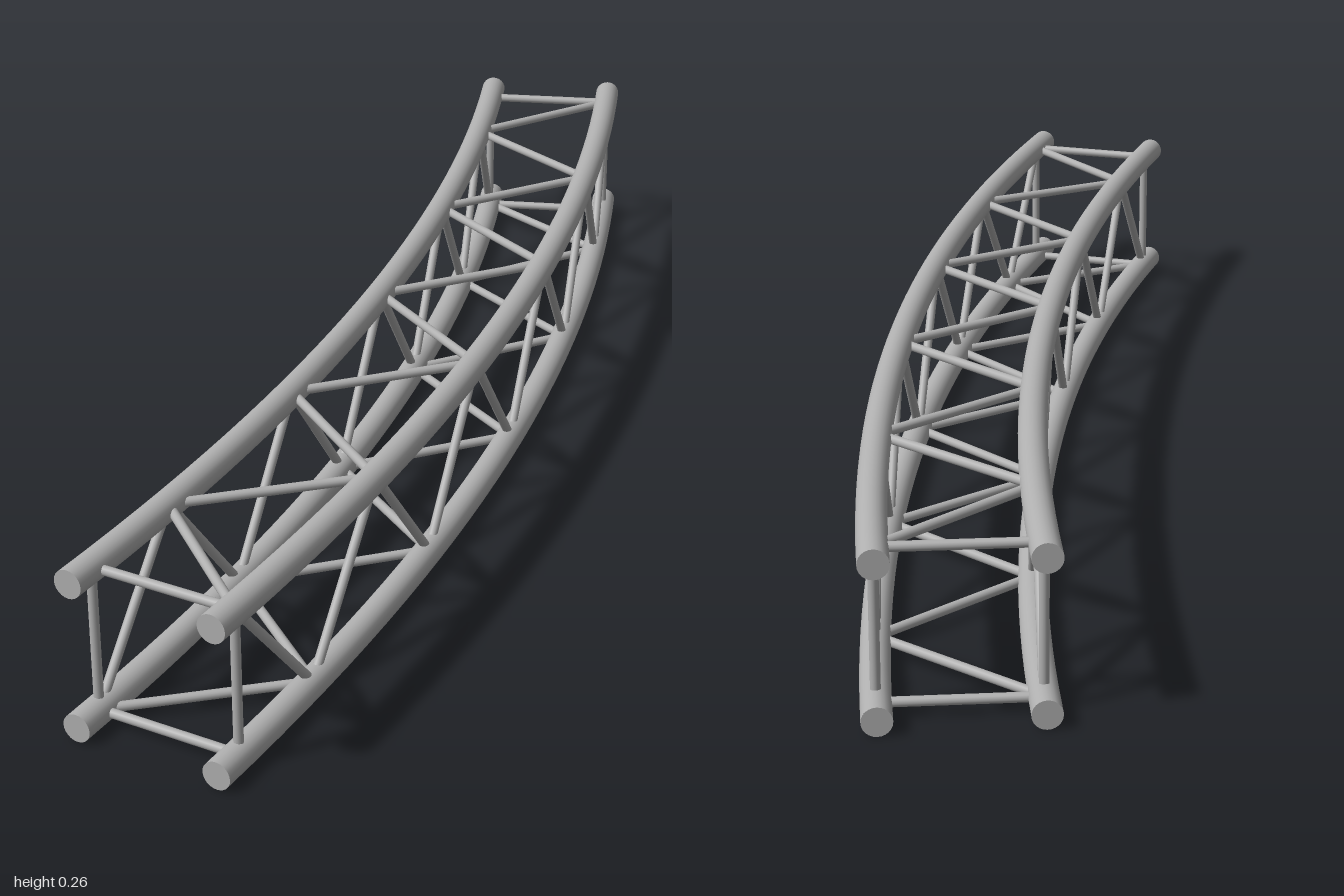
import * as THREE from 'three';

const CX = -4.908, CZ = 1;             // centre of the bend
const INNER = 4.987, OUTER = 5.205;    // chord radii
const LOW = 0.021, HIGH = 0.24;        // chord heights
const SWEEP = 22.5, FIRST = 0.6, LAST = 21.9, BAYS = 10;  // degrees
const CHORD_R = 0.021, BRACE_R = 0.007;

const onArc = (radius, y, deg) => {
  const a = THREE.MathUtils.degToRad(deg);
  return new THREE.Vector3(CX + radius * Math.cos(a), y, CZ - radius * Math.sin(a));
};

class ArcCurve extends THREE.Curve {
  constructor(radius, y) {
    super();
    this.radius = radius;
    this.y = y;
  }
  getPoint(t, target = new THREE.Vector3()) {
    return target.copy(onArc(this.radius, this.y, t * SWEEP));
  }
}

export function createModel() {
  const model = new THREE.Group();
  model.name = 'curvedTruss';
  const metal = new THREE.MeshStandardMaterial({ color: 0xb0b0b0 });
  metal.name = 'aluminium grey';

  const add = (name, geometry, parent = model) => {
    const mesh = new THREE.Mesh(geometry, metal);
    mesh.name = name;
    parent.add(mesh);
    return mesh;
  };

  // Straight round bar between two points
  const up = new THREE.Vector3(0, 1, 0);
  const bar = (name, a, b) => {
    const d = b.clone().sub(a);
    const mesh = add(name, new THREE.CylinderGeometry(BRACE_R, BRACE_R, d.length(), 16));
    mesh.position.copy(a).addScaledVector(d, 0.5);
    mesh.quaternion.setFromUnitVectors(up, d.normalize());
  };

  // Four bent main tubes with flat end caps
  for (const [side, radius] of [['inner', INNER], ['outer', OUTER]]) {
    for (const [level, y] of [['Bottom', LOW], ['Top', HIGH]]) {
      const chord = new THREE.Group();
      chord.name = side + level + 'Chord';
      add('tube', new THREE.TubeGeometry(new ArcCurve(radius, y), 32, CHORD_R, 24), chord);
      for (const [deg, turn] of [[0, 0], [SWEEP, Math.PI]]) {
        const cap = add('endCap', new THREE.CircleGeometry(CHORD_R, 24), chord);
        cap.position.copy(onArc(radius, y, deg));
        cap.rotation.y = THREE.MathUtils.degToRad(deg) + turn;
      }
      model.add(chord);
    }
  }

  // Square end frames
  for (const deg of [FIRST, LAST]) {
    for (const r of [INNER, OUTER]) bar('endPost', onArc(r, LOW, deg), onArc(r, HIGH, deg));
    for (const y of [LOW, HIGH]) bar('endCrossbar', onArc(INNER, y, deg), onArc(OUTER, y, deg));
  }

  // Zigzag lacing; opposite faces run in opposite phase
  const step = (LAST - FIRST) / BAYS;
  for (let k = 0; k < BAYS; k++) {
    const a = FIRST + k * step, b = a + step;
    const even = k % 2 === 0;
    const [y0, y1] = even ? [LOW, HIGH] : [HIGH, LOW];
    const [r0, r1] = even ? [OUTER, INNER] : [INNER, OUTER];
    bar('innerBrace', onArc(INNER, y0, a), onArc(INNER, y1, b));
    bar('outerBrace', onArc(OUTER, y1, a), onArc(OUTER, y0, b));
    bar('topBrace', onArc(r0, HIGH, a), onArc(r1, HIGH, b));
    bar('bottomBrace', onArc(r1, LOW, a), onArc(r0, LOW, b));
  }

  return model;
}
